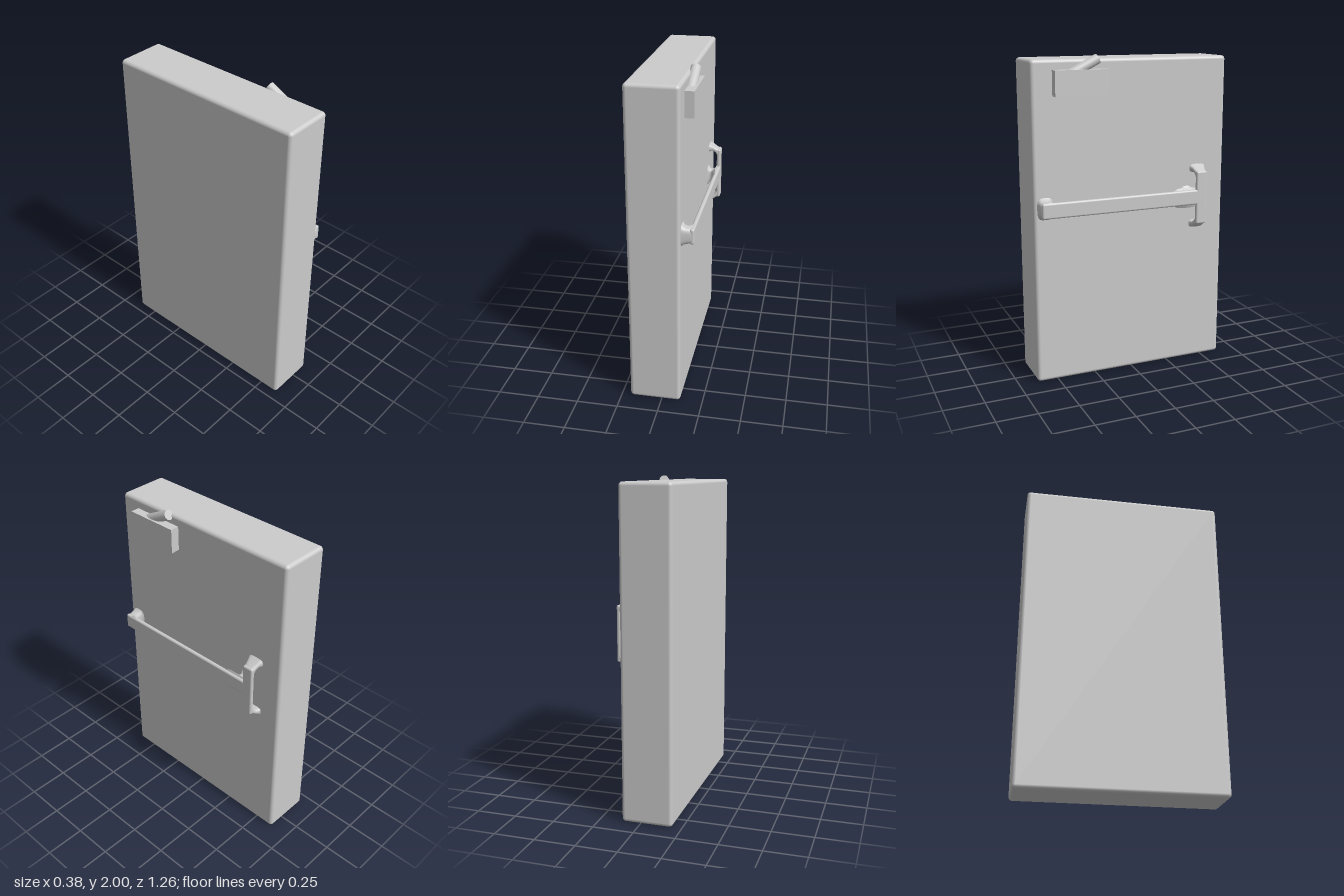
import * as THREE from 'three';
import { RoundedBoxGeometry } from 'three/addons/geometries/RoundedBoxGeometry.js';

const material = new THREE.MeshStandardMaterial({ color: 0xcccccc });

function part(name, geometry, x = 0, y = 0, z = 0) {
  const mesh = new THREE.Mesh(geometry, material);
  mesh.name = name;
  mesh.position.set(x, y, z);
  return mesh;
}

// Flared foot lofted along x; each section is [x, yMin, yMax, zMin, zMax]
function footGeometry(sections, sides = 32) {
  const positions = [], index = [];
  const soften = (v) => Math.sign(v) * Math.pow(Math.abs(v), 0.6);
  const mid = (a, b) => (a + b) / 2;
  const last = sections[sections.length - 1];
  const tip = [last[0] + 0.002, mid(last[1], last[2]), mid(last[1], last[2]), mid(last[3], last[4]), mid(last[3], last[4])];
  const rings = [...sections, tip];
  rings.forEach(([x, y0, y1, z0, z1], i) => {
    for (let j = 0; j < sides; j++) {
      const a = (j / sides) * Math.PI * 2;
      positions.push(x, mid(y0, y1) + soften(Math.cos(a)) * (y1 - y0) / 2, mid(z0, z1) + soften(Math.sin(a)) * (z1 - z0) / 2);
      if (i === rings.length - 1) continue;
      const k = (j + 1) % sides, r = i * sides;
      index.push(r + j, r + k, r + sides + j, r + k, r + sides + k, r + sides + j);
    }
  });
  const geometry = new THREE.BufferGeometry();
  geometry.setAttribute('position', new THREE.Float32BufferAttribute(positions, 3));
  geometry.setIndex(index);
  geometry.computeVertexNormals();
  return geometry;
}

export function createModel() {
  const model = new THREE.Group();
  model.name = 'panelWithHandle';

  // Thick slab with softened edges
  model.add(part('slab', new RoundedBoxGeometry(0.31, 1.97, 1.262, 4, 0.022), -0.04, 0.99, 0));

  // T-shaped handle
  const handle = new THREE.Group();
  handle.name = 'handle';
  handle.add(part('longBar', new RoundedBoxGeometry(0.026, 0.095, 1.07, 4, 0.012), 0.177, 1.105, 0.065));
  handle.add(part('crossBar', new RoundedBoxGeometry(0.026, 0.34, 0.072, 4, 0.012), 0.177, 1.1, -0.445));

  // Feet joining the long bar to the slab
  handle.add(part('frontFoot', footGeometry([
    [0.105, 1.03, 1.18, 0.5, 0.612],
    [0.118, 1.04, 1.17, 0.515, 0.61],
    [0.128, 1.05, 1.16, 0.528, 0.608],
    [0.15, 1.056, 1.154, 0.53, 0.604],
    [0.168, 1.056, 1.154, 0.505, 0.602],
    [0.184, 1.058, 1.152, 0.48, 0.598],
  ])));
  handle.add(part('rearFoot', footGeometry([
    [0.105, 1.03, 1.18, -0.415, -0.325],
    [0.118, 1.045, 1.165, -0.41, -0.335],
    [0.132, 1.062, 1.148, -0.395, -0.344],
    [0.145, 1.062, 1.148, -0.4, -0.338],
    [0.158, 1.06, 1.15, -0.42, -0.31],
    [0.172, 1.04, 1.17, -0.44, -0.25],
  ])));

  // Mirrored feet at both ends of the cross bar, leaning inward
  for (const side of [1, -1]) {
    const spans = [
      [0.105, 0.148, 0.212, -0.502, -0.388],
      [0.118, 0.154, 0.204, -0.496, -0.394],
      [0.135, 0.16, 0.193, -0.489, -0.402],
      [0.155, 0.146, 0.181, -0.483, -0.407],
      [0.17, 0.12, 0.173, -0.481, -0.409],
      [0.186, 0.1, 0.163, -0.478, -0.412],
    ].map(([x, a, b, z0, z1]) => side > 0 ? [x, 1.1 + a, 1.1 + b, z0, z1] : [x, 1.1 - b, 1.1 - a, z0, z1]);
    handle.add(part(side > 0 ? 'upperFoot' : 'lowerFoot', footGeometry(spans)));
  }
  model.add(handle);

  // Small box with a slanted peg rising from it
  model.add(part('latchBox', new THREE.BoxGeometry(0.065, 0.15, 0.335), 0.138, 1.84, 0.335));
  const start = new THREE.Vector3(0.129, 1.872, 0.428);
  const end = new THREE.Vector3(0.129, 1.974, 0.227);
  const peg = part('latchPeg', new THREE.CylinderGeometry(0.03, 0.03, start.distanceTo(end), 32));
  peg.position.copy(start).lerp(end, 0.5);
  peg.quaternion.setFromUnitVectors(new THREE.Vector3(0, 1, 0), end.clone().sub(start).normalize());
  model.add(peg);

  return model;
}
